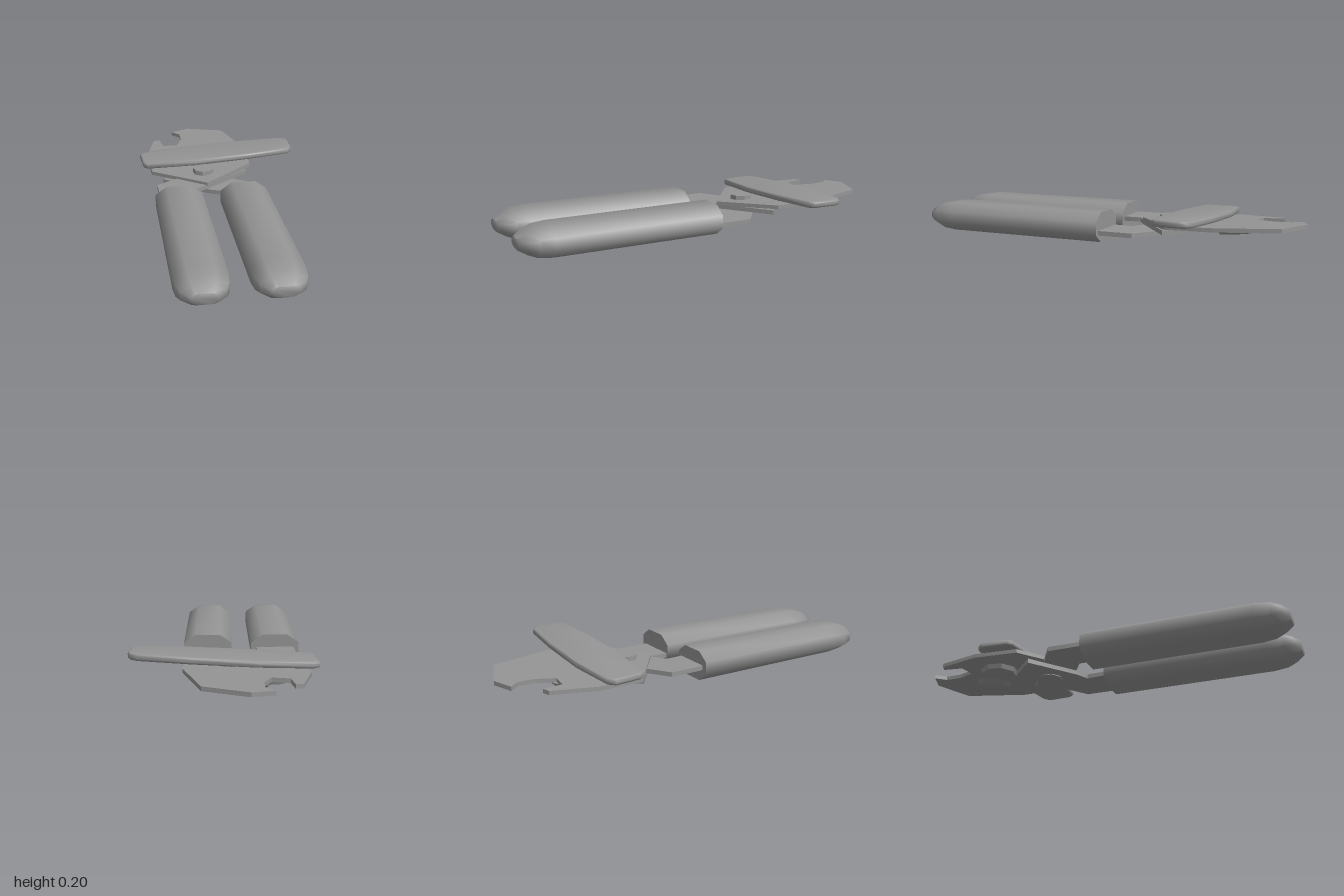
import * as THREE from 'three';
import { mergeVertices, toCreasedNormals } from 'three/addons/utils/BufferGeometryUtils.js';

const material = new THREE.MeshStandardMaterial({ color: 0x949494 });

function addMesh(group, geometry, name) {
  const mesh = new THREE.Mesh(geometry, material);
  mesh.name = name;
  group.add(mesh);
  return mesh;
}

// Horizontal plate from an outline of [x, z] points; lift(x, z) gives its middle height
function plate(outline, thickness, lift, bevel = 0) {
  const shape = new THREE.Shape(outline.map(([x, z]) => new THREE.Vector2(x, z)));
  const geometry = new THREE.ExtrudeGeometry(shape, {
    depth: thickness - 2 * bevel,
    bevelEnabled: bevel > 0,
    bevelThickness: bevel,
    bevelSize: bevel,
    bevelOffset: -bevel,
    bevelSegments: 3,
  });
  geometry.rotateX(Math.PI / 2);
  geometry.translate(0, thickness / 2 - bevel, 0);
  const p = geometry.attributes.position;
  for (let i = 0; i < p.count; i++) p.setY(i, p.getY(i) + lift(p.getX(i), p.getZ(i)));
  return toCreasedNormals(geometry, bevel ? 0.8 : 0.4);
}

// Rounded grip: octagonal sections lofted along its length, tapering at the far end
function gripGeometry() {
  const section = [[0.135, 0.035], [0.07, 0.082], [-0.07, 0.082], [-0.135, 0.035],
    [-0.135, -0.035], [-0.07, -0.082], [0.07, -0.082], [0.135, -0.035]];
  const stations = [[0, 1, 1], [0.95, 1, 1], [1.03, 0.95, 0.9], [1.08, 0.82, 0.66], [1.125, 0.5, 0.36]];
  const n = section.length;
  const positions = [];
  const index = [];
  for (const [t, width, height] of stations) {
    for (const [a, b] of section) positions.push(t, b * height, a * width);
  }
  for (let s = 0; s < stations.length - 1; s++) {
    for (let i = 0; i < n; i++) {
      const a = s * n + i, b = s * n + (i + 1) % n;
      index.push(a, a + n, b, b, a + n, b + n);
    }
  }
  const last = (stations.length - 1) * n;
  for (let i = 1; i < n - 1; i++) {
    index.push(0, i, i + 1, last, last + i + 1, last + i);
  }
  const geometry = new THREE.BufferGeometry();
  geometry.setAttribute('position', new THREE.Float32BufferAttribute(positions, 3));
  geometry.setIndex(index);
  return toCreasedNormals(mergeVertices(geometry), 1.0);
}

function disc(topRadius, bottomRadius, height, sides) {
  return toCreasedNormals(new THREE.CylinderGeometry(topRadius, bottomRadius, height, sides), 0.4);
}

export function createModel() {
  const group = new THREE.Group();

  // Grips
  const grip = gripGeometry();
  for (const [name, x, z] of [['frontGrip', -0.18, 0.14], ['backGrip', 0.025, -0.18]]) {
    const mesh = addMesh(group, grip, name);
    mesh.position.set(x, 0.087, z);
    mesh.rotation.y = -0.588;
  }

  // Crossing arms running from the grips to the pivot
  addMesh(group, plate([[-0.05, 0.14], [-0.12, 0.05], [-0.205, 0], [-0.205, -0.1], [-0.23, -0.45],
    [-0.4, -0.4], [-0.405, 0.12], [-0.25, 0.22], [-0.12, 0.26]], 0.025, () => 0.085), 'frontArm');
  addMesh(group, plate([[0.14, -0.23], [0.08, -0.27], [-0.08, -0.375], [-0.21, -0.33], [-0.54, -0.19],
    [-0.5, 0], [-0.2, -0.1], [-0.13, -0.14], [-0.05, -0.08], [0.02, -0.04]], 0.025, () => 0.06), 'backArm');

  // Jaw plate with the hooked bottle opener
  addMesh(group, plate([[-1, -0.48], [-0.975, -0.6], [-0.78, -0.74], [-0.44, -0.63], [-0.23, -0.48],
    [-0.2, -0.1], [-0.57, 0.03], [-0.79, -0.1], [-0.96, -0.29], [-0.95, -0.33], [-0.85, -0.28],
    [-0.79, -0.35], [-0.855, -0.44], [-0.93, -0.49]], 0.022, (x, z) => 0.1 - 0.04 * z), 'jawPlate');

  // Turning key, rising towards the back
  addMesh(group, plate([[-0.26, -0.825], [-0.225, -0.815], [-0.125, -0.74], [-0.115, -0.705],
    [-0.23, -0.48], [-0.4, -0.2], [-0.595, 0.045], [-0.63, 0.05], [-0.765, -0.025], [-0.775, -0.07],
    [-0.65, -0.32], [-0.46, -0.6], [-0.3, -0.805]], 0.036,
  (x, z) => 0.163 + 0.028 * (x + 0.45) - 0.045 * (z + 0.39), 0.012), 'turningKey');
  addMesh(group, disc(0.06, 0.06, 0.05, 10), 'keyAxle').position.set(-0.47, 0.135, -0.37);

  // Pivot rivet
  addMesh(group, disc(0.063, 0.068, 0.1, 8), 'pivotRivet').position.set(-0.34, 0.093, -0.19);

  // Cutting and feed wheels beneath the jaw
  addMesh(group, disc(0.11, 0.1, 0.025, 8), 'cuttingWheel').position.set(-0.635, 0.075, -0.24);
  const feed = addMesh(group, disc(0.11, 0.085, 0.025, 8), 'feedWheel');
  feed.position.set(-0.65, 0.07, -0.39);
  feed.rotation.x = 0.22;
  addMesh(group, disc(0.045, 0.045, 0.05, 8), 'feedWheelHub').position.set(-0.65, 0.096, -0.38);
  addMesh(group, disc(0.045, 0.045, 0.03, 8), 'cuttingWheelHub').position.set(-0.62, 0.097, -0.24);

  return group;
}
